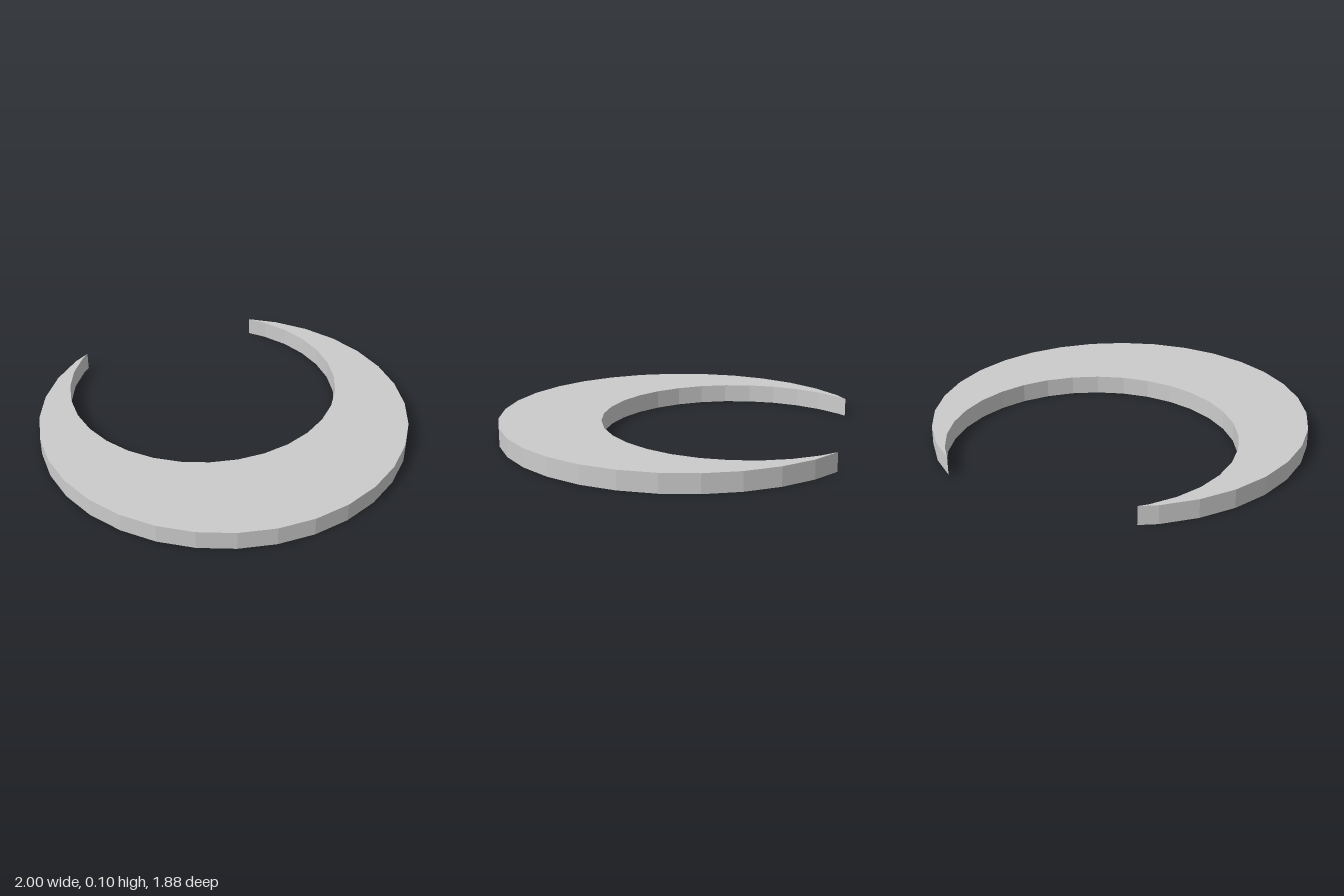
import * as THREE from 'three';

const STEP = Math.PI / 16; // both rims follow 32-sided circles
const HEIGHT = 0.1;

// Points of a faceted arc seen from above; step 0 faces the front (+z).
function arc(cx, cz, radius, from, to) {
  const points = [];
  const dir = Math.sign(to - from);
  for (let k = from; k !== to + dir; k += dir) {
    const a = k * STEP;
    // shape y is -z, so that laying the extrusion flat restores z
    points.push(new THREE.Vector2(cx + radius * Math.sin(a), -(cz + radius * Math.cos(a))));
  }
  return points;
}

export function createModel() {
  const group = new THREE.Group();
  group.name = 'crescent';

  // Outline: left horn tip, outer rim, right horn tip, inner rim
  const outline = [
    new THREE.Vector2(-0.468, 0.939),
    ...arc(0, -0.061, 1, -13, 12),
    new THREE.Vector2(0.576, 0.875),
    ...arc(0.02, -0.372, 0.75, 11, -12),
  ];

  // Flat plate lying on the ground
  const geometry = new THREE.ExtrudeGeometry(new THREE.Shape(outline), {
    depth: HEIGHT,
    bevelEnabled: false,
  });
  geometry.rotateX(-Math.PI / 2);

  const plate = new THREE.Mesh(
    geometry,
    new THREE.MeshStandardMaterial({ color: 0xcccccc, flatShading: true })
  );
  plate.name = 'crescentPlate';
  group.add(plate);
  return group;
}
